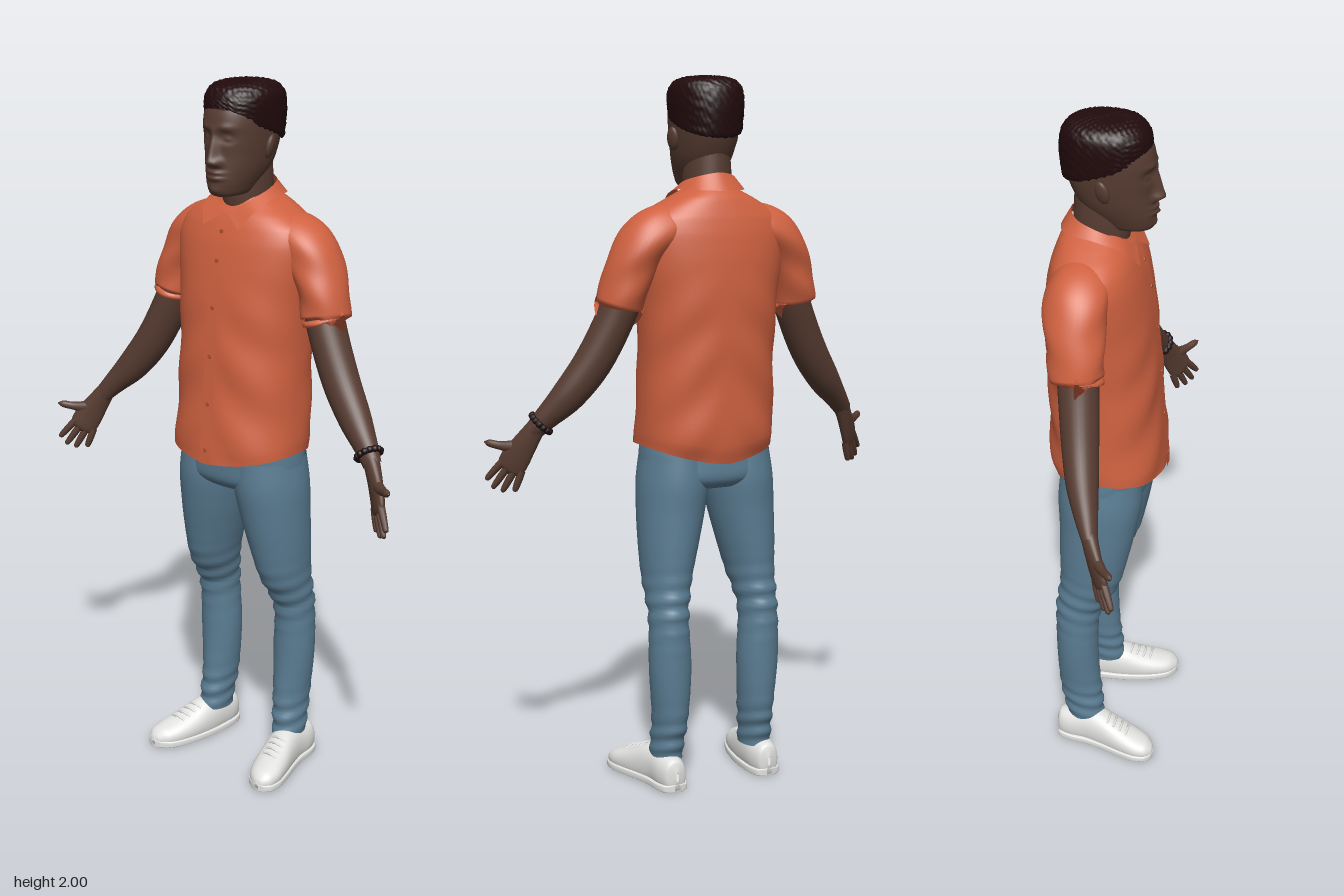
import * as THREE from 'three';

const V = (x, y, z) => new THREE.Vector3(x, y, z);
const X = V(1, 0, 0), Y = V(0, 1, 0), Z = V(0, 0, 1);
const mat = (name, color, side = THREE.FrontSide) =>
  Object.assign(new THREE.MeshStandardMaterial({ color, side }), { name });

// Smooth skin over rows of [x, y, z, halfWidth, halfDepth]; rings face the path or a fixed axis.
function loft(rows, { n = 32, steps = 5, pow = 2, axis = null, ref = Z, deform = null } = {}) {
  const path = new THREE.CatmullRomCurve3(rows.map(r => V(r[0], r[1], r[2])));
  const size = new THREE.CatmullRomCurve3(rows.map(r => V(r[3], r[4], 0)), false, 'catmullrom', 0.5);
  const rings = (rows.length - 1) * steps, pos = [], idx = [];
  const bend = c => Math.sign(c) * Math.pow(Math.abs(c), 2 / pow);
  for (let i = 0; i <= rings; i++) {
    const c = path.getPoint(i / rings), r = size.getPoint(i / rings);
    const t = axis || path.getTangent(i / rings);
    const s = ref.clone().addScaledVector(t, -ref.dot(t)).normalize();
    const w = s.clone().cross(t);
    for (let j = 0; j < n; j++) {
      const a = (j / n) * Math.PI * 2;
      const p = c.clone().addScaledVector(w, bend(Math.cos(a)) * Math.max(r.x, 0.001))
        .addScaledVector(s, bend(Math.sin(a)) * Math.max(r.y, 0.001));
      if (deform) deform(p, a);
      pos.push(p.x, p.y, p.z);
      if (i < rings) {
        const k = i * n + j, l = i * n + (j + 1) % n;
        idx.push(k, l, k + n, l, l + n, k + n);
      }
    }
  }
  const g = new THREE.BufferGeometry();
  g.setAttribute('position', new THREE.Float32BufferAttribute(pos, 3));
  g.setIndex(idx);
  g.computeVertexNormals();
  return g;
}

// Strip of cloth between two point lists
function ribbon(a, b, steps = 40) {
  const ca = new THREE.CatmullRomCurve3(a), cb = new THREE.CatmullRomCurve3(b), pos = [], idx = [];
  for (let i = 0; i <= steps; i++) {
    pos.push(...ca.getPoint(i / steps).toArray(), ...cb.getPoint(i / steps).toArray());
    if (i < steps) idx.push(2 * i, 2 * i + 1, 2 * i + 2, 2 * i + 1, 2 * i + 3, 2 * i + 2);
  }
  const g = new THREE.BufferGeometry();
  g.setAttribute('position', new THREE.Float32BufferAttribute(pos, 3));
  g.setIndex(idx);
  g.computeVertexNormals();
  return g;
}

const bump = (d, w) => Math.exp(-(d * d) / (w * w));
// Row from y, half width, front z and back z
const slab = ([y, w, f, b]) => [0, y, (f + b) / 2, w, (f - b) / 2];

export function createModel() {
  const model = new THREE.Group();
  model.name = 'standingMan';
  const skin = mat('brown skin', 0x573c31), hair = mat('dark hair', 0x210a0c);
  const shirt = mat('orange shirt', 0xcf6140, THREE.DoubleSide);
  const button = mat('button', 0xb2502f);
  const denim = mat('blue denim', 0x5a7c92, THREE.DoubleSide);
  const white = mat('white shoe', 0xe2e2e0), beadMat = mat('dark beads', 0x1e1011);
  const add = (name, geo, m, parent = model) => {
    const mesh = new THREE.Mesh(geo, m);
    mesh.name = name;
    parent.add(mesh);
    return mesh;
  };

  // Shirt body with curved hem and soft folds
  const shirtRows = [
    [0.955, 0.198, 0.162, -0.15], [1.0, 0.199, 0.16, -0.163], [1.1, 0.197, 0.15, -0.165],
    [1.2, 0.195, 0.142, -0.166], [1.3, 0.197, 0.135, -0.17], [1.4, 0.203, 0.125, -0.172],
    [1.5, 0.217, 0.11, -0.168], [1.57, 0.222, 0.095, -0.16], [1.615, 0.205, 0.08, -0.15],
    [1.645, 0.165, 0.066, -0.14], [1.67, 0.12, 0.046, -0.13], [1.69, 0.08, 0.035, -0.115],
    [1.7, 0.06, 0.025, -0.1]].map(slab);
  add('shirtBody', loft(shirtRows, {
    n: 72, steps: 6, pow: 2.25, axis: Y, deform: p => {
      const low = THREE.MathUtils.clamp((1.08 - p.y) / 0.12, 0, 1);
      const side = Math.min(1, Math.abs(p.x) / 0.2);
      p.y += low * (0.03 * side * side - (p.z < 0 ? 0.018 * (1 - side) : 0));
      const edge = Math.min(1, Math.abs(p.x) / 0.07) * THREE.MathUtils.clamp((1.5 - p.y) / 0.2, 0, 1);
      p.z += 0.004 * edge * Math.sin(p.y * 34 + Math.abs(p.x) * 28 + p.z * 9);
    },
  }), shirt);
  // Button strip and buttons
  const strip = x => shirtRows.slice(0, 10).map(r => V(x, r[1], r[2] + r[4] + 0.005));
  add('placket', ribbon(strip(-0.016), strip(0.02)), shirt);
  const front = new THREE.CatmullRomCurve3(strip(0.002));
  for (let i = 0; i < 6; i++) {
    const b = add('shirtButton', new THREE.CylinderGeometry(0.006, 0.006, 0.004, 12), button);
    b.position.copy(front.getPoint(0.1 + i * 0.15));
    b.rotation.x = Math.PI / 2;
  }
  // Folded collar
  const mirrorLine = pts => [...pts.slice(1).reverse().map(p => V(-p[0], p[1], p[2])), ...pts.map(p => V(...p))];
  const collarTop = mirrorLine([[0, 1.737, -0.105], [0.055, 1.727, -0.08], [0.077, 1.71, -0.02],
    [0.06, 1.685, 0.038], [0.01, 1.646, 0.073]]);
  const collarOut = mirrorLine([[0, 1.688, -0.132], [0.07, 1.69, -0.108], [0.1, 1.69, -0.025],
    [0.092, 1.663, 0.052], [0.062, 1.612, 0.093]]);
  add('collar', ribbon(collarTop, collarOut, 64), shirt);

  // Neck
  add('neck', loft([[0, 1.6, -0.035, 0.07, 0.07], [0, 1.67, -0.025, 0.066, 0.077],
    [0, 1.73, -0.022, 0.066, 0.077], [0, 1.8, -0.02, 0.062, 0.075]], { axis: Y }), skin);

  // Head with modelled brow, sockets, lids, nose, lips and chin
  const headRows = [
    [1.694, 0.01, 0.095, 0.06], [1.702, 0.045, 0.112, -0.01], [1.73, 0.061, 0.12, -0.05],
    [1.77, 0.076, 0.117, -0.085], [1.81, 0.084, 0.115, -0.105], [1.85, 0.089, 0.117, -0.117],
    [1.9, 0.091, 0.117, -0.122], [1.94, 0.085, 0.103, -0.115], [1.975, 0.06, 0.07, -0.09],
    [1.985, 0.002, 0.0, -0.01]].map(slab);
  add('head', loft(headRows, {
    n: 144, steps: 9, pow: 2.15, axis: Y, deform: p => {
      if (p.z < 0.03) return;
      const x = Math.abs(p.x), y = p.y;
      const down = THREE.MathUtils.clamp((1.865 - y) / 0.07, 0, 1);
      const nose = (y > 1.79 ? 1 : bump(y - 1.79, 0.011)) * (0.006 + 0.024 * down) * (y < 1.87 ? 1 : bump(y - 1.87, 0.015));
      p.z += nose * bump(x, 0.01 + 0.007 * down);
      p.z += 0.011 * bump(x - 0.018, 0.009) * bump(y - 1.79, 0.011);
      p.z -= 0.011 * bump(x - 0.035, 0.018) * bump(y - 1.857, 0.014);
      p.z += 0.007 * bump(x - 0.036, 0.012) * bump(y - 1.855, 0.007);
      p.z += 0.005 * bump(x - 0.032, 0.025) * bump(y - 1.882, 0.009);
      p.z += 0.012 * bump(x, 0.025) * (bump(y - 1.763, 0.006) + bump(y - 1.748, 0.006));
      p.z += 0.006 * bump(x, 0.022) * bump(y - 1.714, 0.012);
    },
  }), skin);
  // Short curly hair with a sloping hairline
  const hairRows = [
    [1.868, 0.084, 0.09, -0.108], [1.872, 0.094, 0.102, -0.122], [1.9, 0.097, 0.108, -0.13],
    [1.935, 0.099, 0.107, -0.133], [1.965, 0.095, 0.1, -0.125], [1.986, 0.078, 0.08, -0.103],
    [1.996, 0.045, 0.045, -0.065], [1.998, 0.001, -0.009, -0.011]].map(slab);
  add('hair', loft(hairRows, {
    n: 112, steps: 7, pow: 2.2, axis: Y, deform: p => {
      const w = THREE.MathUtils.clamp((1.96 - p.y) / 0.08, 0, 1);
      const curl = 1 + 0.02 * Math.sin(p.x * 330) * Math.sin(p.y * 330) * Math.sin(p.z * 330 + 1);
      p.x *= curl;
      p.z *= curl;
      p.y += w * p.z * 0.34 + 0.0025 * Math.sin(p.x * 300) * Math.sin(p.z * 300);
    },
  }), hair);

  for (const s of [1, -1]) {
    const side = new THREE.Group();
    side.name = s > 0 ? 'leftSide' : 'rightSide';
    model.add(side);
    const flip = rows => rows.map(([x, ...r]) => [x * s, ...r]);

    // Ear
    const ear = add('ear', new THREE.SphereGeometry(1, 20, 14), skin, side);
    ear.scale.set(0.011, 0.033, 0.02);
    ear.position.set(0.094 * s, 1.828, -0.002);
    ear.rotation.set(-0.15, 0.35 * s, -0.15 * s);

    // Short sleeve with a turned-in cuff
    add('sleeve', loft(flip([[0.1, 1.6, -0.045, 0.055, 0.07], [0.15, 1.585, -0.047, 0.068, 0.083],
      [0.2, 1.553, -0.047, 0.07, 0.086], [0.245, 1.475, -0.04, 0.066, 0.078], [0.271, 1.378, -0.028, 0.064, 0.071],
      [0.269, 1.385, -0.028, 0.056, 0.062]]), {
      steps: 8, n: 40, deform: p => { p.z += 0.003 * Math.sin(p.y * 60 + p.x * s * 30); },
    }), shirt, side);

    // Bare arm
    add('arm', loft(flip([[0.25, 1.43, -0.035, 0.052, 0.055], [0.274, 1.36, -0.025, 0.053, 0.055],
      [0.34, 1.225, -0.005, 0.053, 0.05], [0.405, 1.135, 0.016, 0.047, 0.043],
      [0.462, 1.073, 0.04, 0.034, 0.031], [0.497, 1.033, 0.057, 0.027, 0.022]])), skin, side);

    // Hand: palm, four fingers and thumb in one slanted plane
    const palmOut = V(-0.6 * s, 0, 0.8);
    const handLoft = (name, rows, n) => add(name, loft(flip(rows), { n, ref: palmOut }), skin, side);
    handLoft('palm', [[0.488, 1.045, 0.052, 0.027, 0.022], [0.512, 1.003, 0.068, 0.034, 0.019],
      [0.535, 0.96, 0.086, 0.041, 0.016], [0.549, 0.928, 0.099, 0.036, 0.013],
      [0.555, 0.916, 0.103, 0.005, 0.003]], 28);
    const d = V(0.44, -0.83, 0.33), w = V(0.66, 0.55, 0.5);
    [0.055, 0.077, 0.085, 0.075].forEach((len, i) => {
      const k = i - 1.5, base = V(0.543, 0.934, 0.094).addScaledVector(w, k * 0.0205);
      const at = (f, a, b) => [...base.clone().addScaledVector(d, len * f)
        .addScaledVector(w, k * 0.008 * f).toArray(), a, b];
      handLoft('finger', [at(-0.15, 0.01, 0.011), at(0.3, 0.0105, 0.0105), at(0.7, 0.0095, 0.009),
        at(0.94, 0.007, 0.007), at(1, 0.001, 0.001)], 12);
    });
    handLoft('thumb', [[0.51, 1.0, 0.07, 0.016, 0.014], [0.545, 0.992, 0.093, 0.017, 0.014],
      [0.572, 0.994, 0.112, 0.012, 0.011], [0.596, 1.0, 0.131, 0.01, 0.009],
      [0.607, 1.003, 0.14, 0.001, 0.001]], 14);

    // Trouser leg with creases at knee and ankle
    add('trouserLeg', loft(flip([[0.143, 0.082, -0.046, 0.045, 0.057], [0.142, 0.12, -0.05, 0.046, 0.058],
      [0.138, 0.2, -0.062, 0.05, 0.062], [0.14, 0.35, -0.07, 0.06, 0.062], [0.142, 0.5, -0.064, 0.056, 0.066],
      [0.133, 0.6, -0.033, 0.068, 0.087], [0.122, 0.7, -0.021, 0.083, 0.101], [0.11, 0.8, -0.012, 0.095, 0.112],
      [0.102, 0.88, -0.008, 0.1, 0.12], [0.098, 0.96, -0.006, 0.092, 0.116]]), {
      n: 44, steps: 9, axis: Y, deform: (p, a) => {
        const fold = 0.005 * bump(p.y - 0.52, 0.08) + 0.004 * bump(p.y - 0.15, 0.07);
        const f = fold * Math.sin(p.y * 130 + 2 * Math.sin(a));
        p.z += f * Math.sin(a);
        p.x -= f * Math.cos(a) * 0.7;
      },
    }), denim, side);

    // Shoe upper, sole and laces
    const shoe = [[0.148, 0.045, -0.134, 0.004, 0.015], [0.149, 0.045, -0.125, 0.03, 0.045],
      [0.15, 0.045, -0.09, 0.042, 0.055], [0.152, 0.05, -0.04, 0.045, 0.062], [0.16, 0.045, 0.01, 0.049, 0.062],
      [0.175, 0.036, 0.07, 0.053, 0.046], [0.189, 0.03, 0.12, 0.051, 0.035], [0.197, 0.026, 0.155, 0.039, 0.027],
      [0.201, 0.022, 0.173, 0.018, 0.014], [0.202, 0.02, 0.178, 0.002, 0.002]];
    add('shoeUpper', loft(flip(shoe), {
      axis: Z, ref: Y, pow: 2.2, deform: p => { p.y = Math.max(p.y, 0.004); },
    }), white, side);
    add('shoeSole', loft(flip(shoe.map(r => [r[0], 0.011, r[2], r[3] + 0.004, 0.011])),
      { axis: Z, ref: Y, pow: 6 }), white, side);
    [[0.165, 0.1, 0.03], [0.17, 0.092, 0.05], [0.175, 0.084, 0.07], [0.18, 0.077, 0.09]].forEach(([x, y, z]) => {
      const lace = new THREE.CatmullRomCurve3([V(x * s - 0.026, y - 0.008, z), V(x * s, y + 0.001, z + 0.004),
        V(x * s + 0.026, y - 0.008, z)]);
      add('lace', new THREE.TubeGeometry(lace, 10, 0.0035, 6), white, side);
    });
  }

  // Trouser seat
  add('trouserSeat', loft([[0.855, 0.03, 0.03, -0.04], [0.862, 0.12, 0.08, -0.1], [0.89, 0.19, 0.112, -0.128],
    [0.94, 0.193, 0.118, -0.128], [1.0, 0.187, 0.12, -0.122], [1.06, 0.175, 0.11, -0.115]].map(slab),
  { n: 48, pow: 2.3, axis: Y }), denim);

  // Beaded bracelet on the left wrist
  const bracelet = new THREE.Group();
  bracelet.name = 'bracelet';
  add('braceletBand', new THREE.TorusGeometry(0.031, 0.008, 10, 32), beadMat, bracelet);
  for (let i = 0; i < 14; i++) {
    const a = (i / 14) * Math.PI * 2;
    add('bead', new THREE.SphereGeometry(0.0095, 10, 8), beadMat, bracelet)
      .position.set(Math.cos(a) * 0.033, Math.sin(a) * 0.033, 0);
  }
  bracelet.position.set(0.475, 1.058, 0.046);
  bracelet.quaternion.setFromUnitVectors(Z, V(0.035, -0.04, 0.017).normalize());
  model.add(bracelet);
  return model;
}
